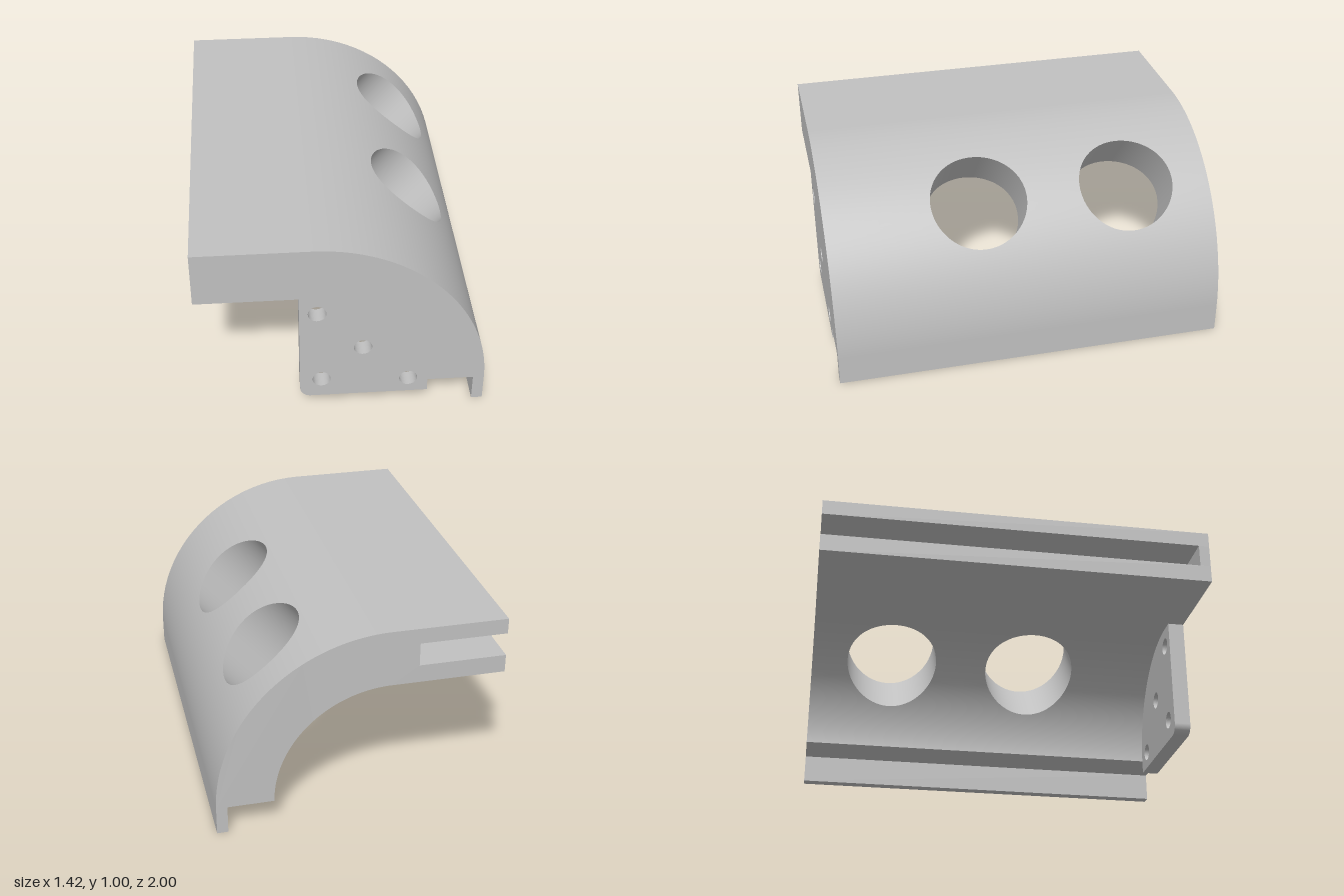
import * as THREE from 'three';

const CX = -0.145, CY = 0.145;        // centre of the quarter bend
const R_OUT = 0.855, R_IN = 0.57;     // bend radii
const HOLE_R = 0.247, HOLE_DIR = THREE.MathUtils.degToRad(49);
const SEG = 24, RINGS = 8, Q = Math.PI / 2;

export function createModel() {
  const group = new THREE.Group();
  const grey = new THREE.MeshStandardMaterial({ color: 0xc0c0c0 });
  grey.name = 'grey';

  const add = (name, geometry, x = 0, y = 0, z = 0) => {
    const mesh = new THREE.Mesh(geometry, grey);
    mesh.name = name;
    mesh.position.set(x, y, z);
    group.add(mesh);
  };
  const box = (name, x0, x1, y0, y1, z0, z1) =>
    add(name, new THREE.BoxGeometry(x1 - x0, y1 - y0, z1 - z0), (x0 + x1) / 2, (y0 + y1) / 2, (z0 + z1) / 2);

  // Grid surface: at(i, j) returns [position, normal]
  const grid = (n, m, at, flip) => {
    const pos = [], nor = [], idx = [];
    for (let i = 0; i <= n; i++) for (let j = 0; j <= m; j++) {
      const [p, v] = at(i, j);
      pos.push(...p);
      nor.push(...v);
      if (i === n || j === m) continue;
      const a = i * (m + 1) + j, b = a + 1, d = a + m + 1, c = d + 1;
      idx.push(...(flip ? [a, d, b, b, d, c] : [a, b, d, b, c, d]));
    }
    const g = new THREE.BufferGeometry();
    g.setAttribute('position', new THREE.Float32BufferAttribute(pos, 3));
    g.setAttribute('normal', new THREE.Float32BufferAttribute(nor, 3));
    g.setIndex(idx);
    return g;
  };
  const onBend = (r, t, z) => [CX + r * Math.cos(t), CY + r * Math.sin(t), z];

  // Bend section with one round radial hole, spanning z0..z1
  const holedSection = (zc, z0, z1) => {
    const corners = [[0, z0], [Q, z0], [Q, z1], [0, z1]];
    const rim = i => {
      const k = Math.floor(i / SEG) % 4, f = (i % SEG) / SEG;
      const a = corners[k], b = corners[(k + 1) % 4];
      return [a[0] + (b[0] - a[0]) * f, a[1] + (b[1] - a[1]) * f];
    };
    const phi = i => {
      const [t, z] = rim(i);
      return Math.atan2(z - zc, R_OUT * (t - HOLE_DIR));
    };
    const holeEdge = (i, r) =>
      [HOLE_DIR + Math.asin(HOLE_R * Math.cos(phi(i)) / r), zc + HOLE_R * Math.sin(phi(i))];
    const skin = (r, s) => grid(4 * SEG, RINGS, (i, j) => {
      const h = holeEdge(i, r), e = rim(i), f = j / RINGS;
      const t = h[0] + (e[0] - h[0]) * f, z = h[1] + (e[1] - h[1]) * f;
      return [onBend(r, t, z), [s * Math.cos(t), s * Math.sin(t), 0]];
    }, s < 0);
    add('bendOuterSkin', skin(R_OUT, 1));
    add('bendInnerSkin', skin(R_IN, -1));
    add('holeWall', grid(4 * SEG, 1, (i, j) => {
      const r = j ? R_IN : R_OUT, p = phi(i), c = Math.cos(p);
      return [onBend(r, ...holeEdge(i, r)),
        [c * Math.sin(HOLE_DIR), -c * Math.cos(HOLE_DIR), -Math.sin(p)]];
    }, true));
  };
  holedSection(-0.56, -1, -0.17);
  holedSection(0.215, -0.17, 1);

  // Flat ends and lower edge of the bend
  const sector = new THREE.Shape();
  sector.absarc(CX, CY, R_OUT, 0, Q, false);
  sector.absarc(CX, CY, R_IN, Q, 0, true);
  add('bendFrontEnd', new THREE.ShapeGeometry(sector, SEG), 0, 0, 1);
  const back = new THREE.ShapeGeometry(sector, SEG);
  back.index.array.reverse();
  back.computeVertexNormals();
  add('bendBackEnd', back, 0, 0, -1);
  add('bendLowerEdge', new THREE.PlaneGeometry(R_OUT - R_IN, 2).rotateX(Q), CX + (R_OUT + R_IN) / 2, CY, 0);
  box('lowerLip', 0.655, 0.71, 0, CY, -1, 1);

  // Straight slab with a slot open to the side and back
  const slab = new THREE.Shape([
    [CX, 0.715], [CX, 1], [-0.71, 1], [-0.71, 0.922], [-0.28, 0.922],
    [-0.28, 0.805], [-0.71, 0.805], [-0.71, 0.715],
  ].map(p => new THREE.Vector2(...p)));
  add('slottedSlab', new THREE.ExtrudeGeometry(slab, { depth: 2, bevelEnabled: false }), 0, 0, -1);
  box('slotEndWall', -0.71, -0.28, 0.805, 0.922, 0.945, 1);

  // Mounting plate under the front end
  const plate = new THREE.Shape();
  plate.moveTo(-0.16, 0.075);
  plate.lineTo(0.425, 0.075);
  plate.lineTo(0.425, CY);
  plate.absarc(CX, CY, R_IN, 0, Q, false);
  plate.lineTo(-0.212, 0.715);
  plate.lineTo(-0.212, 0.127);
  plate.absarc(-0.16, 0.127, 0.052, Math.PI, 1.5 * Math.PI, false);
  for (const [x, y] of [[-0.125, 0.617], [0.098, 0.388], [-0.105, 0.186], [0.327, 0.164]]) {
    const hole = new THREE.Path();
    hole.absarc(x, y, 0.045, 0, 2 * Math.PI, true);
    plate.holes.push(hole);
  }
  add('mountingPlate', new THREE.ExtrudeGeometry(plate, { depth: 0.085, bevelEnabled: false, curveSegments: SEG }), 0, 0, 0.915);

  return group;
}
